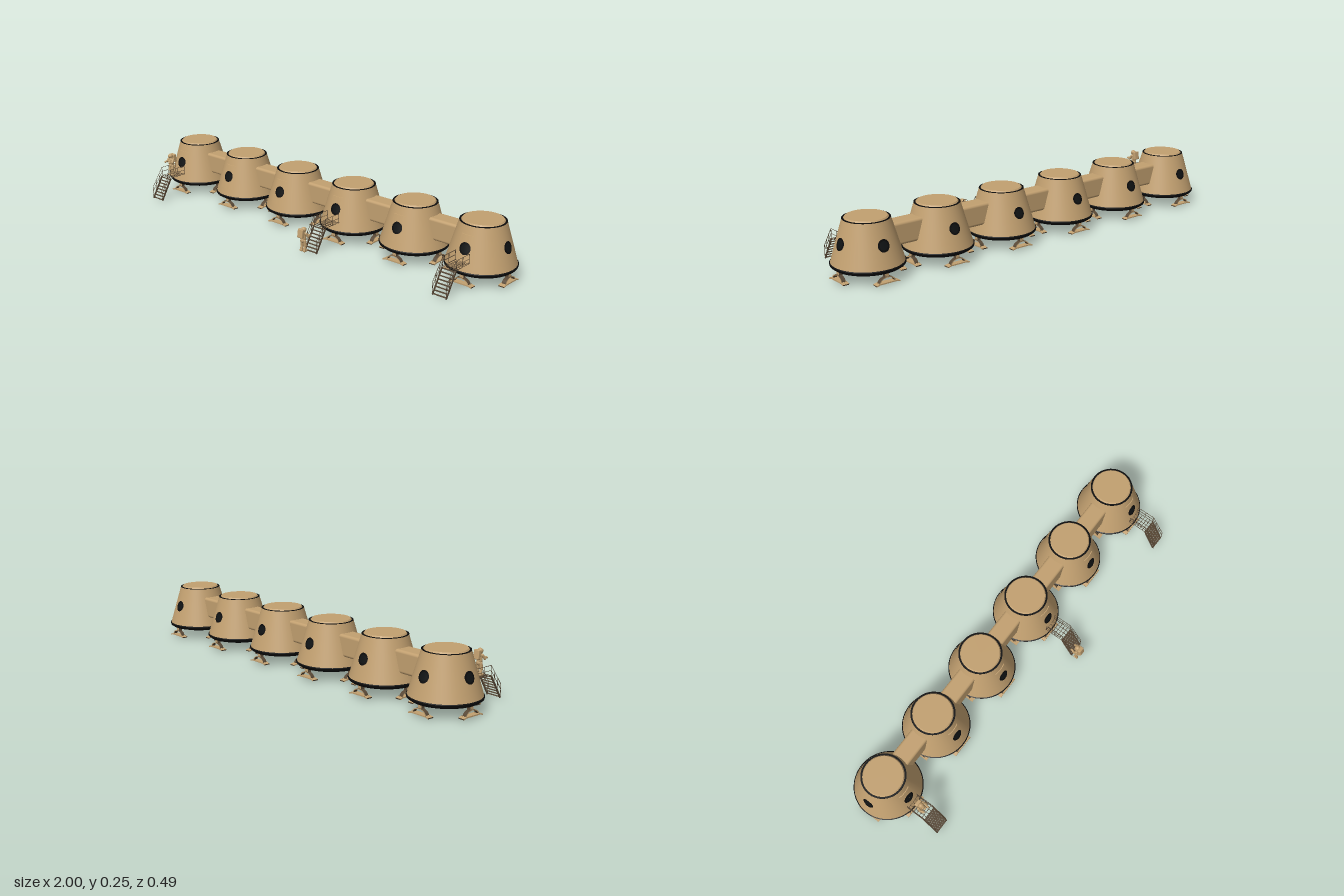
import * as THREE from 'three';
import { toCreasedNormals } from 'three/addons/utils/BufferGeometryUtils.js';
import { RoundedBoxGeometry } from 'three/addons/geometries/RoundedBoxGeometry.js';

const material = (name, color, side = THREE.FrontSide) => {
  const m = new THREE.MeshStandardMaterial({ color, side });
  m.name = name;
  return m;
};
const tan = material('tan hull', 0xc2a070);
const tanThin = material('tan panel', 0xc2a070, THREE.DoubleSide);
const black = material('black', 0x0b0b0b);
const glass = material('window glass', 0x101314);
const metal = material('dark metal', 0x574735);
// Box faces of the legs: dark ends and underside, tan top and broad sides
const legFaces = [metal, metal, tan, metal, tan, tan];

const V = (x, y, z) => new THREE.Vector3(x, y, z);

function add(parent, name, geo, mat, x = 0, y = 0, z = 0) {
  const mesh = new THREE.Mesh(geo, mat);
  mesh.name = name;
  mesh.position.set(x, y, z);
  parent.add(mesh);
  return mesh;
}

function group(parent, name, x = 0, y = 0, z = 0) {
  const g = new THREE.Group();
  g.name = name;
  g.position.set(x, y, z);
  parent.add(g);
  return g;
}

// Turned profile with sharp edges where the outline bends
const lathe = (pts, start = 0, length = Math.PI * 2, segments = 48) => toCreasedNormals(
  new THREE.LatheGeometry(pts.map(p => new THREE.Vector2(...p)), segments, start, length), 0.5);

// Straight rod or rounded limb between two points
function rod(parent, name, a, b, r, mat, round = false) {
  const d = b.clone().sub(a), len = d.length();
  const geo = round ? new THREE.CapsuleGeometry(r, len, 4, 10) : new THREE.CylinderGeometry(r, r, len, 6);
  const mesh = add(parent, name, geo, mat);
  mesh.position.copy(a).addScaledVector(d, 0.5);
  mesh.quaternion.setFromUnitVectors(V(0, 1, 0), d.normalize());
}

// Flat ring bent to follow the curve of the wall
function bentRing(inner, outer) {
  const geo = new THREE.RingGeometry(inner, outer, 32, 4);
  const p = geo.attributes.position;
  for (let i = 0; i < p.count; i++) p.setZ(i, -(p.getX(i) ** 2) / 0.25);
  geo.computeVertexNormals();
  return geo;
}

// Porthole lying on the sloping wall, facing angle a
function porthole(parent, a, radius) {
  const turn = group(parent, 'porthole');
  turn.rotation.y = a;
  const w = group(turn, 'portholeTilt', 0, 0.157, radius);
  w.rotation.x = -0.285;
  add(w, 'portholeRim', bentRing(0.018, 0.026), black);
  add(w, 'portholeGlass', bentRing(0.0005, 0.018), glass);
}

// Landing leg: post, arched brace and curved foot
function leg(parent, a) {
  const turn = group(parent, 'landingLeg');
  turn.rotation.y = a;
  const g = group(turn, 'legParts', 0, 0, 0.134);
  const arch = new THREE.Shape();
  arch.absarc(0, 0, 0.037, 0, Math.PI, false);
  arch.absarc(0, 0, 0.032, Math.PI, 0, true);
  const geo = new THREE.ExtrudeGeometry(arch, { depth: 0.018, bevelEnabled: false, curveSegments: 16 });
  geo.scale(1, 0.65, 1);
  add(g, 'legArch', geo, [tan, metal], 0, 0.012, -0.009);
  add(g, 'legPost', new THREE.BoxGeometry(0.018, 0.016, 0.017), legFaces, 0, 0.041, -0.004);
  add(g, 'footPad', new THREE.BoxGeometry(0.078, 0.005, 0.027), legFaces, 0, 0.0125, 0);
  for (const s of [-1, 1]) {
    const toe = add(g, 'footToe', new THREE.BoxGeometry(0.018, 0.005, 0.027), legFaces, s * 0.045, 0.0105, 0);
    toe.rotation.z = -s * 0.25;
  }
}

function capsule(parent, x, side) {
  const g = group(parent, 'habitat', x, 0, -0.09);
  add(g, 'heatShield', lathe([[0, 0.034], [0.06, 0.035], [0.11, 0.04], [0.14, 0.048],
    [0.151, 0.056], [0.153, 0.064], [0.149, 0.067]]), black);
  add(g, 'hull', lathe([[0.149, 0.066], [0.0965, 0.245]]), tan);
  add(g, 'roofSeam', lathe([[0.0965, 0.2445], [0.0972, 0.245], [0.0972, 0.2462], [0.0885, 0.2465]]), black);
  add(g, 'roof', lathe([[0.0895, 0.246], [0.0845, 0.252], [0, 0.252]]), tan);
  // Slightly raised front door panel
  add(g, 'door', lathe([[0.138, 0.1], [0.142, 0.1005], [0.1098, 0.2095], [0.1058, 0.21]],
    -0.29, 0.58, 12), tanThin);
  porthole(g, 0, 0.1262);
  porthole(g, Math.PI, 0.1232);
  if (side) porthole(g, side * Math.PI / 2, 0.1232);
  for (let i = 0; i < 4; i++) leg(g, i * Math.PI / 2);
}

function stairs(parent, x) {
  const g = group(parent, 'stairs', x);
  const W = 0.033;
  // Open grating of the landing
  for (let i = 0; i <= 6; i++) {
    const z = 0.05 + i * 0.0145;
    rod(g, 'gratingCrossBar', V(-W, 0.105, z), V(W, 0.105, z), 0.0011, metal);
  }
  for (let i = 0; i <= 4; i++) {
    const bx = -W + i * W / 2;
    rod(g, 'gratingLongBar', V(bx, 0.105, 0.04), V(bx, 0.105, 0.137), 0.0011, metal);
  }
  // Treads
  for (let i = 0; i < 8; i++) {
    const t = (i + 0.5) / 8;
    add(g, 'tread', new THREE.BoxGeometry(2 * W, 0.002, 0.009), metal, 0, 0.105 * (1 - t), 0.137 + 0.062 * t);
  }
  for (const s of [-W, W]) {
    const stringer = add(g, 'stringer', new THREE.BoxGeometry(0.003, 0.116, 0.008), metal, s, 0.053, 0.168);
    stringer.rotation.x = -Math.atan2(0.062, 0.105);
    // Two rails on the landing, continued down the flight
    for (const h of [0.021, 0.042]) {
      rod(g, 'landingRail', V(s, 0.105 + h, 0.05), V(s, 0.105 + h, 0.137), 0.0011, metal);
      rod(g, 'stairRail', V(s, 0.105 + h, 0.137), V(s, 0.017 + h, 0.199), 0.0011, metal);
    }
    for (const z of [0.05, 0.095, 0.137]) {
      rod(g, 'landingPost', V(s, 0.105, z), V(s, 0.147, z), 0.0012, metal);
    }
    for (const t of [0.34, 0.67, 1]) {
      const z = 0.137 + 0.062 * t;
      rod(g, 'stairPost', V(s, 0.105 * (1 - t) + 0.001, z), V(s, 0.147 - 0.088 * t, z), 0.0012, metal);
    }
  }
}

// Suited figure facing +z, about 0.112 tall
function astronaut(parent, x, y, z, turn) {
  const g = group(parent, 'astronaut', x, y, z);
  g.rotation.y = turn;
  const torso = add(g, 'torso', new THREE.CapsuleGeometry(0.0125, 0.018, 5, 14), tan, 0, 0.07, 0);
  torso.scale.set(1.1, 1, 0.85);
  add(g, 'hips', new THREE.SphereGeometry(0.0125, 14, 10), tan, 0, 0.052, 0);
  add(g, 'helmet', new THREE.SphereGeometry(0.0115, 16, 12), tan, 0, 0.1, 0.004);
  const visor = add(g, 'visor', new THREE.SphereGeometry(0.009, 14, 10), tan, 0, 0.1, 0.0085);
  visor.scale.y = 0.85;
  const collar = add(g, 'collar', new THREE.TorusGeometry(0.009, 0.002, 6, 18), tan, 0, 0.0905, 0.002);
  collar.rotation.x = Math.PI / 2;
  const pack = add(g, 'backpack', new RoundedBoxGeometry(0.029, 0.04, 0.017, 2, 0.004), tan, 0, 0.087, -0.014);
  pack.rotation.x = 0.15;
  add(g, 'chestPack', new RoundedBoxGeometry(0.015, 0.011, 0.007, 2, 0.002), tan, 0, 0.074, 0.013);
  for (const s of [-1, 1]) {
    const hip = V(s * 0.0075, 0.05, 0), knee = V(s * 0.009, 0.028, 0.003), ankle = V(s * 0.009, 0.009, -0.002);
    rod(g, 'thigh', hip, knee, 0.0075, tan, true);
    rod(g, 'shin', knee, ankle, 0.0063, tan, true);
    add(g, 'boot', new RoundedBoxGeometry(0.012, 0.009, 0.021, 2, 0.003), tan, s * 0.009, 0.0045, 0.002);
    const shoulder = V(s * 0.0155, 0.085, 0), elbow = V(s * 0.019, 0.07, 0.01), hand = V(s * 0.014, 0.073, 0.022);
    rod(g, 'upperArm', shoulder, elbow, 0.0057, tan, true);
    rod(g, 'forearm', elbow, hand, 0.0048, tan, true);
    add(g, 'glove', new THREE.SphereGeometry(0.005, 10, 8), tan, s * 0.014, 0.071, 0.026);
  }
}

export function createModel() {
  const root = new THREE.Group();
  root.name = 'habitatBase';
  const pitch = 0.339;
  const center = i => (i - 2.5) * pitch;
  for (let i = 0; i < 6; i++) {
    capsule(root, center(i), i === 0 ? -1 : i === 5 ? 1 : 0);
    // Connecting corridor
    if (i < 5) {
      add(root, 'corridor', new RoundedBoxGeometry(0.16, 0.096, 0.084, 3, 0.012), tan,
        center(i) + pitch / 2, 0.157, -0.09);
    }
  }
  for (const i of [0, 3, 5]) stairs(root, center(i));
  astronaut(root, center(0), 0.106, 0.102, 0);
  astronaut(root, center(3) - 0.022, 0.008, 0.221, Math.PI);
  return root;
}
